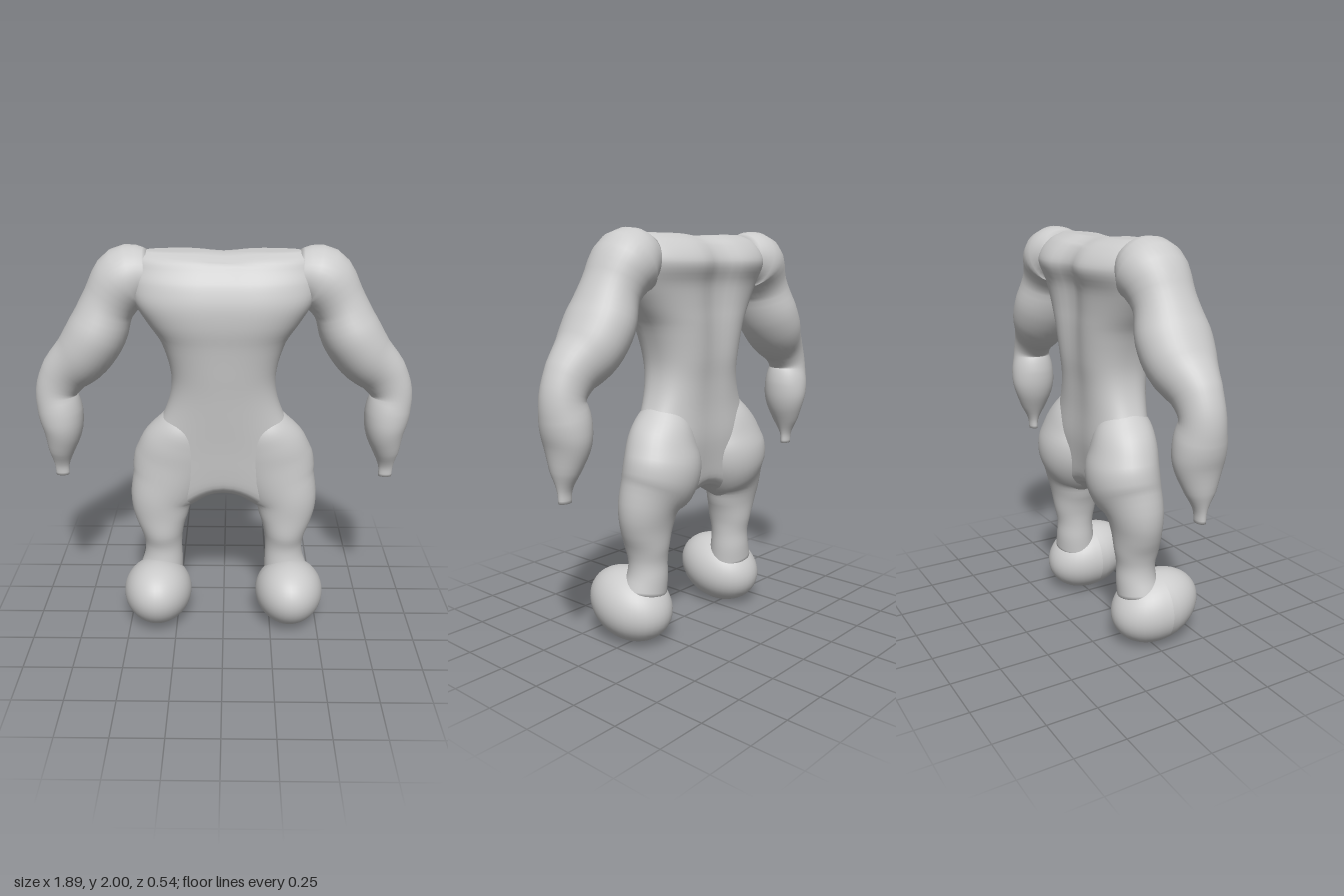
import * as THREE from 'three';

const material = new THREE.MeshStandardMaterial({ color: 0xcccccc });

// Smooth skin over stations [x, y, z, half width, half depth]; rings stand square to the path.
// n squares the ring off, rule moves each vertex.
function loft(name, stations, { n = 2, steps = 4, sides = 36, rule = null } = {}) {
  const path = new THREE.CatmullRomCurve3(stations.map(s => new THREE.Vector3(s[0], s[1], s[2])));
  const size = new THREE.CatmullRomCurve3(stations.map(s => new THREE.Vector3(s[3], s[4], 0)), false, 'catmullrom', 0.5);
  const rows = (stations.length - 1) * steps;
  const pos = [], index = [];
  const put = p => { if (rule) rule(p); pos.push(p.x, p.y, p.z); };
  const round = v => Math.sign(v) * Math.pow(Math.abs(v), 2 / n);
  for (let i = 0; i <= rows; i++) {
    const c = path.getPoint(i / rows), r = size.getPoint(i / rows), t = path.getTangent(i / rows);
    const len = Math.hypot(t.x, t.y);
    for (let j = 0; j < sides; j++) {
      const a = j / sides * Math.PI * 2;
      const u = round(Math.cos(a)) * r.x, w = round(Math.sin(a)) * r.y;
      put(new THREE.Vector3(c.x - t.y / len * u, c.y + t.x / len * u, c.z + w));
      if (i < rows) {
        const k = (j + 1) % sides, p = i * sides, q = p + sides;
        index.push(p + j, p + k, q + j, p + k, q + k, q + j);
      }
    }
  }
  // end caps
  const first = pos.length / 3, last = first + 1, base = rows * sides;
  put(path.getPoint(0));
  put(path.getPoint(1));
  for (let j = 0; j < sides; j++) {
    const k = (j + 1) % sides;
    index.push(first, k, j, last, base + j, base + k);
  }
  const g = new THREE.BufferGeometry();
  g.setAttribute('position', new THREE.Float32BufferAttribute(pos, 3));
  g.setIndex(index);
  g.computeVertexNormals();
  const mesh = new THREE.Mesh(g, material);
  mesh.name = name;
  return mesh;
}

// Spine groove, shallow chest line, wavy shoulder line and arched crotch
function shapeTorso(p) {
  const middle = Math.exp(-((p.x / 0.1) ** 2));
  const upper = THREE.MathUtils.smoothstep(p.y, 1.1, 1.75);
  const low = 1 - THREE.MathUtils.smoothstep(p.y, 0.74, 0.95);
  if (p.z < -0.06) p.z += (p.z + 0.06) * -(0.1 + 0.12 * upper) * middle;
  else p.z -= 0.01 * upper * middle;
  if (p.y > 1.94) p.y -= 0.012 * middle;
  p.y -= low * 2.4 * p.x * p.x;
}

const torso = [
  [0, 1.98, -0.05, 0.36, 0.06],
  [0, 1.95, -0.05, 0.42, 0.14],
  [0, 1.90, -0.06, 0.445, 0.185],
  [0, 1.84, -0.055, 0.45, 0.218],
  [0, 1.75, -0.028, 0.43, 0.215],
  [0, 1.65, -0.025, 0.37, 0.21],
  [0, 1.55, -0.035, 0.305, 0.20],
  [0, 1.40, -0.043, 0.262, 0.183],
  [0, 1.28, -0.045, 0.265, 0.165],
  [0, 1.15, -0.05, 0.31, 0.152],
  [0, 1.00, -0.06, 0.39, 0.143],
  [0, 0.88, -0.06, 0.40, 0.13],
  [0, 0.79, -0.06, 0.34, 0.115],
  [0, 0.745, -0.06, 0.24, 0.08],
];

// Shoulder, upper arm, elbow, forearm, wrist stub
const arm = [
  [0.34, 1.87, -0.06, 0.11, 0.12],
  [0.46, 1.845, -0.068, 0.155, 0.165],
  [0.555, 1.725, -0.055, 0.132, 0.145],
  [0.615, 1.59, -0.05, 0.147, 0.172],
  [0.69, 1.475, -0.05, 0.142, 0.16],
  [0.79, 1.375, -0.045, 0.12, 0.112],
  [0.838, 1.28, -0.045, 0.104, 0.1],
  [0.827, 1.18, -0.047, 0.113, 0.118],
  [0.82, 1.08, -0.047, 0.1, 0.115],
  [0.835, 0.96, -0.045, 0.066, 0.072],
  [0.84, 0.88, -0.045, 0.039, 0.03],
  [0.84, 0.82, -0.045, 0.034, 0.022],
];

// Buttock, thigh, shin, ankle
const leg = [
  [0.17, 1.20, -0.05, 0.07, 0.07],
  [0.205, 1.10, -0.055, 0.13, 0.135],
  [0.235, 1.00, -0.07, 0.185, 0.158],
  [0.255, 0.90, -0.087, 0.21, 0.17],
  [0.285, 0.80, -0.084, 0.2, 0.165],
  [0.325, 0.70, -0.06, 0.165, 0.138],
  [0.33, 0.60, -0.048, 0.142, 0.12],
  [0.325, 0.50, -0.043, 0.11, 0.112],
  [0.322, 0.42, -0.045, 0.098, 0.096],
  [0.325, 0.34, -0.043, 0.104, 0.1],
  [0.34, 0.25, -0.03, 0.12, 0.11],
];

// Rounded foot, toe end slightly raised and narrowed
function makeFoot(side) {
  const g = new THREE.SphereGeometry(1, 36, 24);
  const p = g.attributes.position;
  for (let i = 0; i < p.count; i++) {
    const x = p.getX(i), y = p.getY(i), z = p.getZ(i);
    p.setXYZ(i, side * 0.352 + x * 0.179 * (1 - 0.06 * z), 0.181 + y * 0.177 + 0.025 * z, 0.05 + z * 0.23);
  }
  g.computeVertexNormals();
  const mesh = new THREE.Mesh(g, material);
  mesh.name = 'foot';
  return mesh;
}

export function createModel() {
  const model = new THREE.Group();
  model.name = 'headlessBody';
  model.add(loft('torso', torso, { n: 2.5, sides: 64, rule: shapeTorso }));
  for (const [side, label] of [[1, 'left'], [-1, 'right']]) {
    const mirror = list => list.map(([x, ...rest]) => [side * x, ...rest]);
    // mirrored arms keep their upper side outward
    const parts = [loft('arm', mirror(arm)), loft('leg', mirror(leg)), makeFoot(side)];
    for (const part of parts) {
      part.name = label + part.name[0].toUpperCase() + part.name.slice(1);
      model.add(part);
    }
  }
  return model;
}
